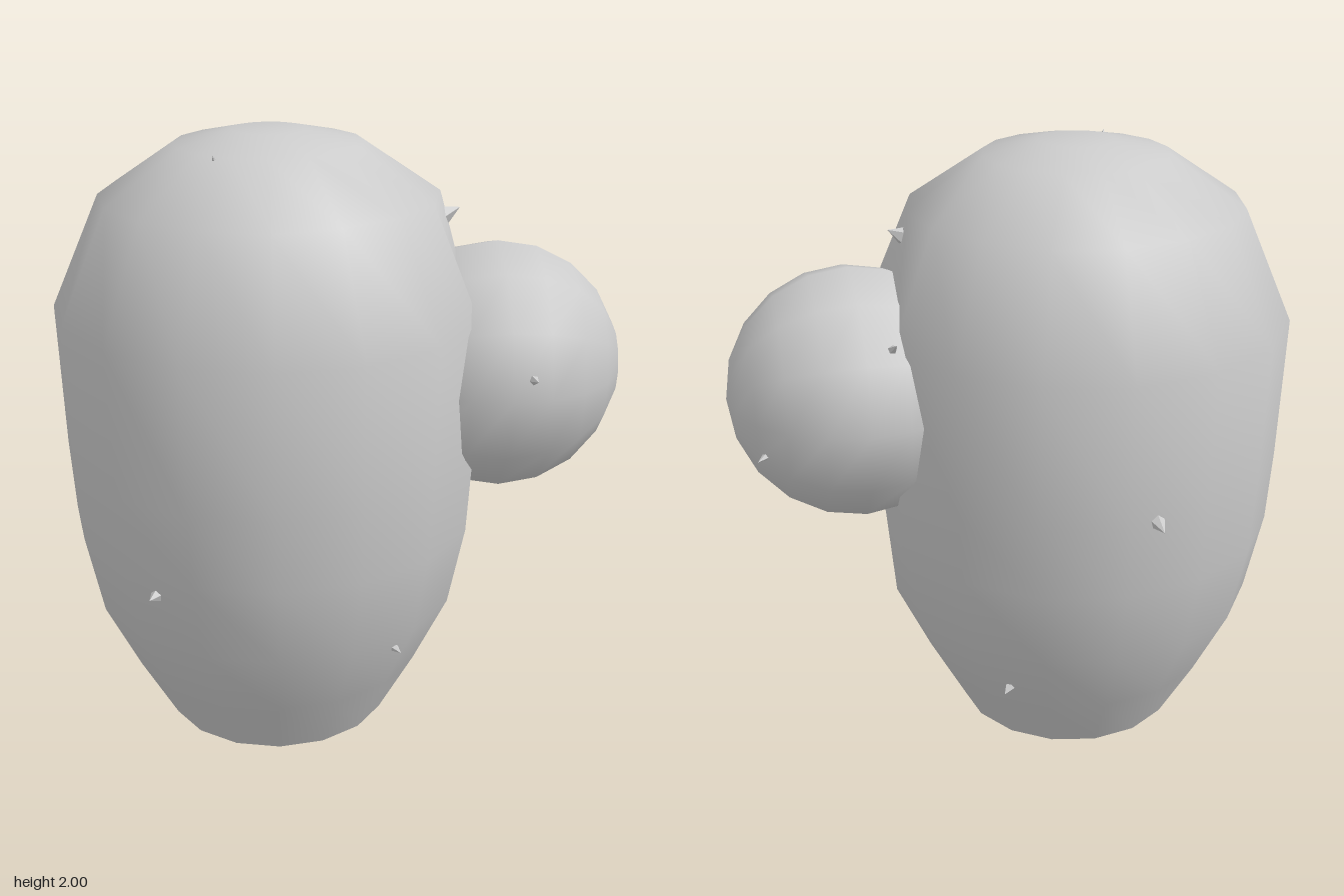
import * as THREE from 'three';
import { mergeVertices } from 'three/addons/utils/BufferGeometryUtils.js';

const material = new THREE.MeshStandardMaterial({ color: 0xcccccc });

// Weld the seams and shade smoothly across the whole surface
function smooth(geometry) {
  geometry.deleteAttribute('normal');
  geometry.deleteAttribute('uv');
  const welded = mergeVertices(geometry, 1e-4);
  welded.computeVertexNormals();
  return welded;
}

function addMesh(group, name, geometry) {
  const mesh = new THREE.Mesh(geometry, material);
  mesh.name = name;
  group.add(mesh);
  return mesh;
}

export function createModel() {
  const group = new THREE.Group();
  group.name = 'cactus';
  const axisX = -0.22, axisZ = 0.02;

  // Trunk: barrel narrowing to the foot, slightly flatter on the branch side
  const profile = [
    [0.38, 0], [0.5, 0.22], [0.615, 0.46], [0.67, 0.73], [0.685, 0.97],
    [0.7, 1.44], [0.54, 1.8], [0.3, 1.96], [0.12, 2], [0, 2],
  ].map(([r, y]) => new THREE.Vector2(r, y));
  const trunkGeometry = new THREE.LatheGeometry(profile, 16);
  const pos = trunkGeometry.attributes.position;
  for (let i = 0; i < pos.count; i++) pos.setX(i, Math.min(pos.getX(i), 0.64));
  const trunk = addMesh(group, 'trunk', smooth(trunkGeometry));
  trunk.position.set(axisX, 0, axisZ);

  // Flat underside of the trunk
  const foot = addMesh(group, 'trunkBase', new THREE.CircleGeometry(0.38, 16));
  foot.rotation.x = Math.PI / 2;
  foot.position.set(axisX, 0, axisZ);

  // Round branch on the left, its pole pointing sideways
  const branchCentre = new THREE.Vector3(0.51, 1.225, 0.02);
  const branch = addMesh(group, 'branch', smooth(new THREE.SphereGeometry(0.41, 12, 10)));
  branch.rotation.z = -Math.PI / 2;
  branch.position.copy(branchCentre);

  // Thorns: base point, outward direction, radius, length
  const up = new THREE.Vector3(0, 1, 0);
  function addThorn(name, base, direction, radius = 0.025, length = 0.05) {
    const geometry = new THREE.ConeGeometry(radius, length + 0.02, 5).toNonIndexed();
    geometry.translate(0, length / 2 - 0.01, 0);
    geometry.computeVertexNormals();
    const thorn = addMesh(group, name, geometry);
    thorn.position.set(...base);
    thorn.quaternion.setFromUnitVectors(up, new THREE.Vector3(...direction).normalize());
  }

  const trunkThorns = [
    [[-0.59, 0.66, 0.54], [-0.57, -0.1, 0.8], 0.035, 0.04],
    [[0.15, 0.41, 0.46], [0.6, -0.25, 0.75], 0.025, 0.04],
    [[-0.38, 1.94, 0.27], [-0.2, 0.9, 0.4], 0.022, 0.03],
    [[0.33, 1.72, 0.02], [0.85, 0.4, 0], 0.045, 0.06],
    [[-0.31, 0.98, -0.65], [-0.05, -0.1, -1], 0.03, 0.06],
    [[0.09, 0.29, -0.4], [0.6, -0.25, -0.75], 0.025, 0.04],
  ];
  trunkThorns.forEach((thorn, i) => addThorn(`trunkThorn${i + 1}`, ...thorn));

  const branchDirections = [[0.07, 0.07, 0.4], [0.32, -0.11, -0.24], [-0.09, 0.25, -0.32]];
  branchDirections.forEach((d, i) => {
    const base = new THREE.Vector3(...d).setLength(0.4).add(branchCentre);
    addThorn(`branchThorn${i + 1}`, base.toArray(), d, 0.02, 0.035);
  });

  return group;
}
